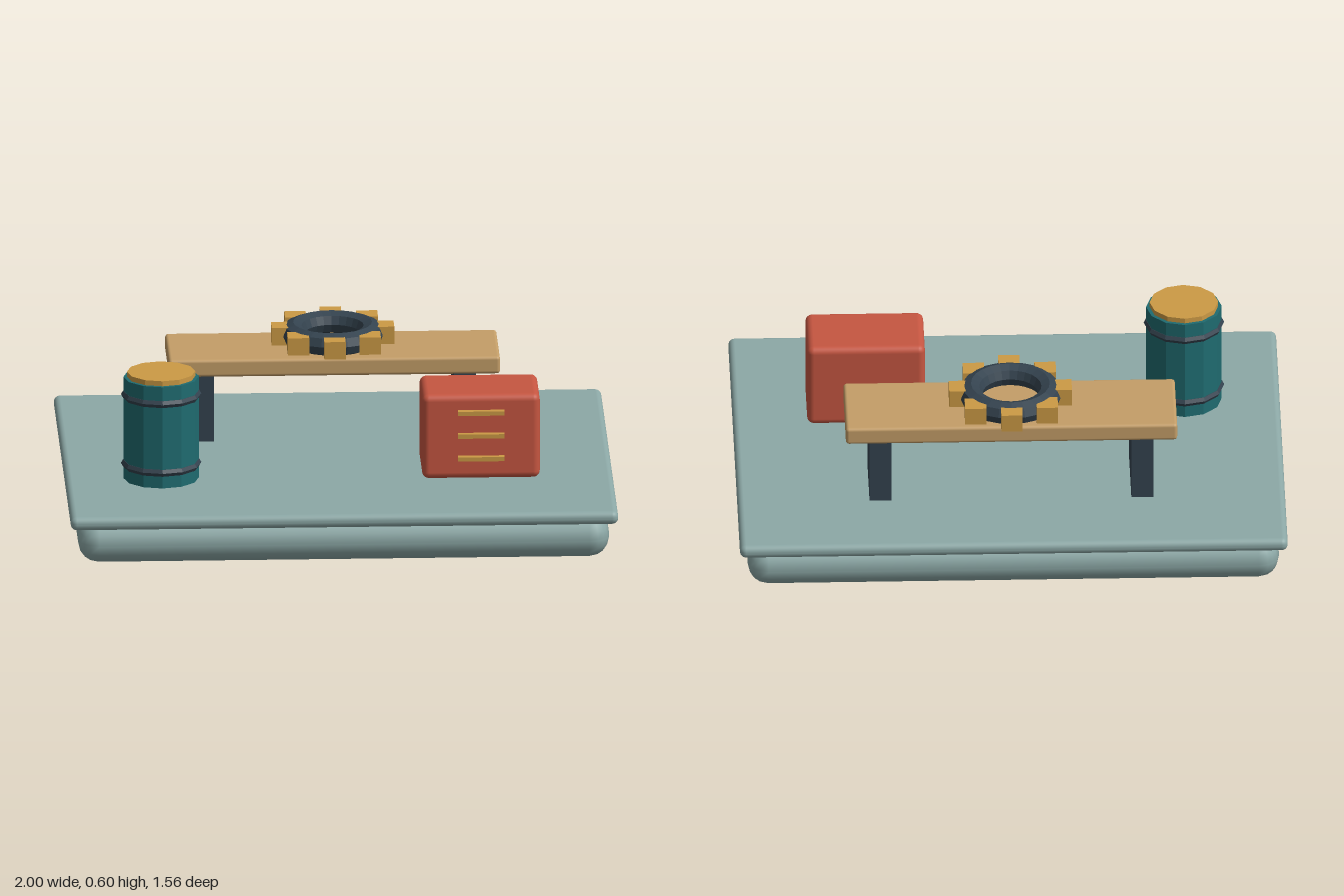
import * as THREE from 'three';
import { RoundedBoxGeometry } from 'three/addons/geometries/RoundedBoxGeometry.js';

const mat = (name, color, flatShading = false) => {
  const m = new THREE.MeshStandardMaterial({ color, flatShading });
  m.name = name;
  return m;
};

export function createModel() {
  const model = new THREE.Group();
  model.name = 'workshopPlatform';

  const sage = mat('sage', 0x8ca8a6);
  const teal = mat('teal', 0x1f6b70, true);
  const slate = mat('slate', 0x34434f, true);
  const wood = mat('wood', 0xc49e68);
  const brass = mat('brass', 0xcc9a45, true);
  const red = mat('red', 0xc65641);

  const add = (parent, name, geometry, material, x, y, z) => {
    const mesh = new THREE.Mesh(geometry, material);
    mesh.name = name;
    mesh.position.set(x, y, z);
    parent.add(mesh);
    return mesh;
  };
  const group = (name, x, y, z) => {
    const g = new THREE.Group();
    g.name = name;
    g.position.set(x, y, z);
    model.add(g);
    return g;
  };
  const rounded = (w, h, d, r, s = 3) => new RoundedBoxGeometry(w, h, d, s, r);

  // Platform: thick rounded base under a thin wider deck
  add(model, 'base', rounded(1.94, 0.155, 1.52, 0.075, 2), sage, 0, 0.0775, 0);
  add(model, 'deck', rounded(2, 0.05, 1.56, 0.023), sage, 0, 0.167, 0);

  // Barrel with two hoops and a lid
  const barrel = group('barrel', -0.65, 0.19, 0.278);
  add(barrel, 'barrelBody', new THREE.CylinderGeometry(0.138, 0.138, 0.388, 12), teal, 0, 0.194, 0);
  add(barrel, 'barrelLid', new THREE.CylinderGeometry(0.125, 0.125, 0.03, 12), brass, 0, 0.392, 0);
  for (const y of [0.06, 0.322]) {
    const hoop = new THREE.TorusGeometry(0.132, 0.015, 6, 12).rotateX(Math.PI / 2);
    add(barrel, 'barrelHoop', hoop, slate, 0, y, 0);
  }

  // Bench: plank on two slab legs
  const bench = group('bench', 0, 0, -0.305);
  add(bench, 'benchTop', rounded(1.21, 0.066, 0.345, 0.012), wood, 0, 0.479, 0);
  for (const side of [-1, 1]) {
    add(bench, 'benchLeg', new THREE.BoxGeometry(0.08, 0.27, 0.28), slate, side * 0.478, 0.322, 0);
  }

  // Gear lying on the bench: ring with eight square teeth, all aligned to the axes
  const gear = group('gear', 0, 0.557, -0.307);
  const ring = new THREE.TorusGeometry(0.144, 0.043, 8, 24).rotateX(Math.PI / 2);
  add(gear, 'gearRing', ring, slate, 0, 0, 0);
  for (let i = 0; i < 8; i++) {
    const a = (i * Math.PI) / 4;
    add(gear, 'gearTooth', new THREE.BoxGeometry(0.078, 0.066, 0.078), brass,
      Math.cos(a) * 0.185, 0, Math.sin(a) * 0.185);
  }

  // Drawer cabinet with three handles on its front
  const cabinet = group('cabinet', 0.515, 0.361, 0.237);
  add(cabinet, 'cabinetBody', rounded(0.43, 0.32, 0.275, 0.025), red, 0, 0, 0);
  for (const y of [0.096, 0.009, -0.078]) {
    add(cabinet, 'drawerHandle', new THREE.BoxGeometry(0.17, 0.016, 0.034), brass, 0, y, 0.143);
  }

  return model;
}
